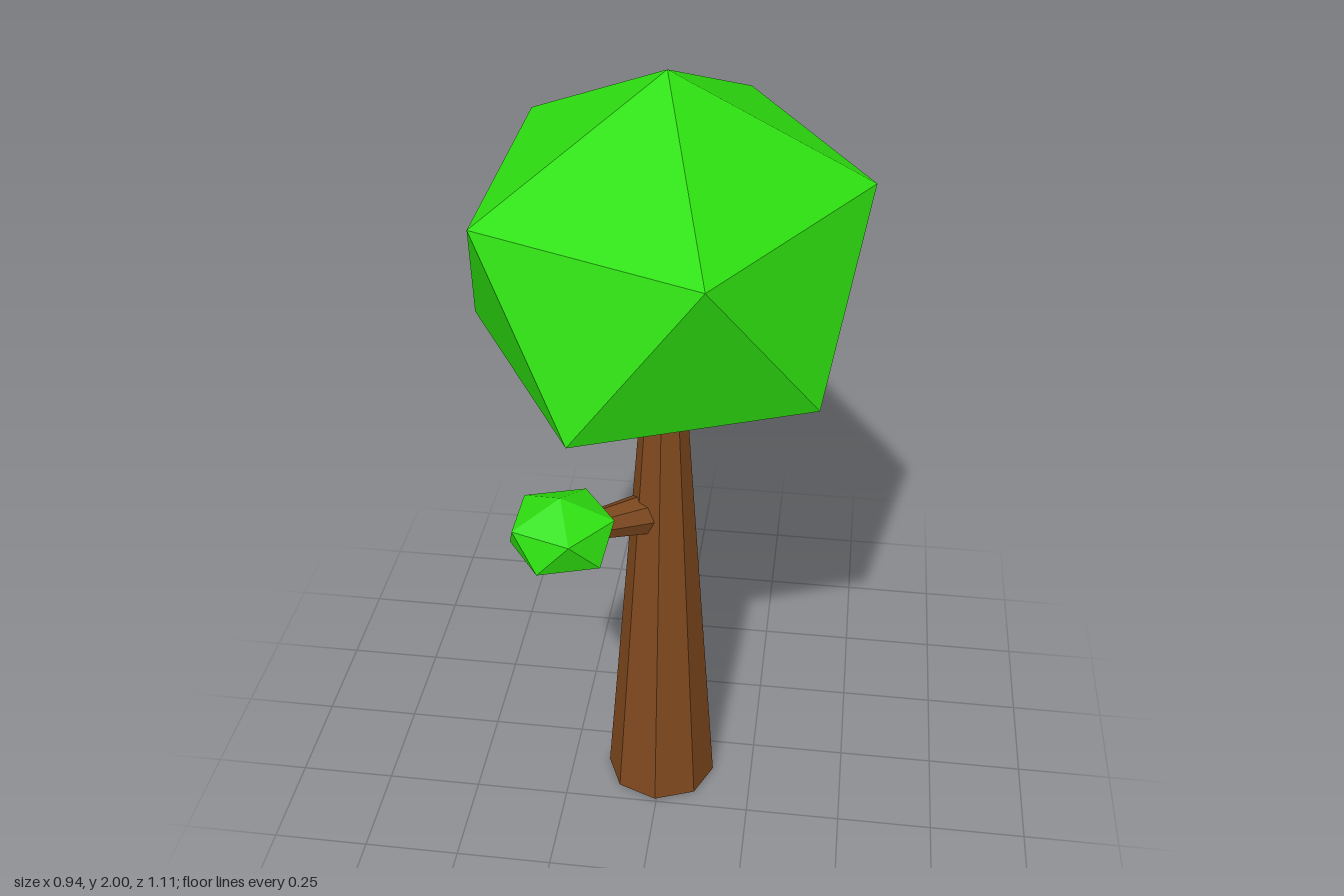
import * as THREE from 'three';
import { ConvexGeometry } from 'three/addons/geometries/ConvexGeometry.js';

const leafMaterial = new THREE.MeshStandardMaterial({ color: 0x2ee010, flatShading: true });
const barkMaterial = new THREE.MeshStandardMaterial({ color: 0x7c471d, flatShading: true });

// Stretched icosahedron standing on a point: two poles and two rings of five
function foliage(name, center, ringX, ringZ, halfHeight) {
  const points = [new THREE.Vector3(0, halfHeight, 0), new THREE.Vector3(0, -halfHeight, 0)];
  const ringY = halfHeight / Math.sqrt(5);
  for (let i = 0; i < 5; i++) {
    const a = (i * Math.PI * 2) / 5;
    const x = Math.cos(a) * ringX, z = Math.sin(a) * ringZ;
    points.push(new THREE.Vector3(x, ringY, z), new THREE.Vector3(-x, -ringY, z));
  }
  const mesh = new THREE.Mesh(new ConvexGeometry(points), leafMaterial);
  mesh.name = name;
  mesh.position.set(...center);
  return mesh;
}

// Tapered eight-sided trunk, sheared so that its ends stay level
function makeTrunk() {
  const height = 1.2;
  const geometry = new THREE.CylinderGeometry(0.055, 0.147, height, 8);
  geometry.translate(0, height / 2, 0);
  const p = geometry.attributes.position;
  for (let i = 0; i < p.count; i++) {
    const lean = THREE.MathUtils.lerp(0.105, 0.031, p.getY(i) / height);
    p.setX(i, p.getX(i) - 0.004);
    p.setZ(i, p.getZ(i) * 0.92 + lean);
  }
  geometry.computeVertexNormals();
  const mesh = new THREE.Mesh(geometry, barkMaterial);
  mesh.name = 'trunk';
  return mesh;
}

// Short side branch between two points
function makeBranch(from, to) {
  const dir = to.clone().sub(from);
  const mesh = new THREE.Mesh(new THREE.CylinderGeometry(0.032, 0.056, dir.length(), 8), barkMaterial);
  mesh.name = 'branch';
  mesh.position.copy(from).addScaledVector(dir, 0.5);
  mesh.quaternion.setFromUnitVectors(new THREE.Vector3(0, 1, 0), dir.normalize());
  return mesh;
}

export function createModel() {
  const tree = new THREE.Group();
  tree.name = 'tree';
  tree.add(
    makeTrunk(),
    makeBranch(new THREE.Vector3(-0.04, 0.855, 0.07), new THREE.Vector3(-0.2, 0.885, 0.2)),
    foliage('crown', [0, 1.565, 0], 0.47, 0.584, 0.435),
    foliage('branchFoliage', [-0.232, 0.9, 0.233], 0.132, 0.13, 0.1),
  );
  return tree;
}
